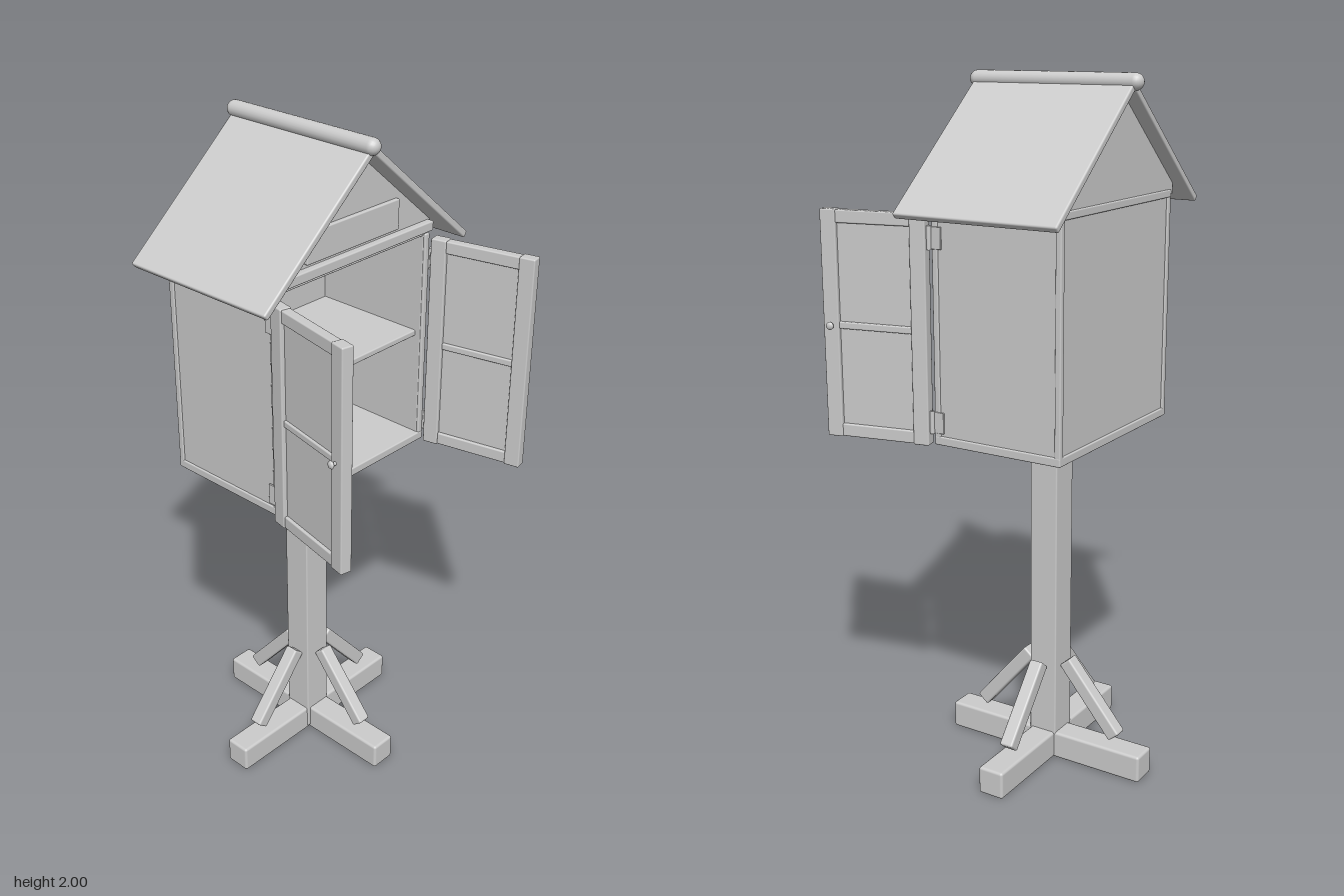
import * as THREE from 'three';
import { RoundedBoxGeometry } from 'three/addons/geometries/RoundedBoxGeometry.js';

export function createModel() {
  const root = new THREE.Group();
  root.name = 'cabinetOnPost';
  const paint = new THREE.MeshStandardMaterial({ color: 0xcccccc });
  paint.name = 'pale grey';

  const add = (parent, name, geometry, x, y, z) => {
    const mesh = new THREE.Mesh(geometry, paint);
    mesh.name = name;
    mesh.position.set(x, y, z);
    parent.add(mesh);
    return mesh;
  };
  // Softly rounded board given by its size and centre
  const board = (parent, name, w, h, d, x, y, z, r = 0.004) =>
    add(parent, name, new RoundedBoxGeometry(w, h, d, 2, Math.min(r, w / 3, h / 3, d / 3)), x, y, z);

  // Stand: crossed feet, post, top plate and four diagonal braces
  const stand = new THREE.Group();
  stand.name = 'stand';
  stand.position.set(0.013, 0, -0.095);
  root.add(stand);
  board(stand, 'footBeamAcross', 0.65, 0.082, 0.08, 0, 0.041, 0, 0.008);
  board(stand, 'footBeamAlong', 0.08, 0.082, 0.65, 0, 0.041, 0, 0.008);
  board(stand, 'post', 0.09, 0.98, 0.088, -0.005, 0.5, 0, 0.004);
  board(stand, 'topPlate', 0.225, 0.034, 0.225, -0.006, 0.994, 0, 0.008);
  for (let i = 0; i < 4; i++) {
    const arm = new THREE.Group();
    arm.name = 'braceArm';
    arm.rotation.y = i * Math.PI / 2;
    stand.add(arm);
    board(arm, 'brace', 0.042, 0.262, 0.042, 0.146, 0.21, 0, 0.006).rotation.z = 0.7;
  }

  // Cabinet: open-fronted box with trim and a shelf
  const cabinet = new THREE.Group();
  cabinet.name = 'cabinet';
  root.add(cabinet);
  const zMid = -0.097;
  board(cabinet, 'floor', 0.605, 0.025, 0.4, 0, 1.024, zMid);
  board(cabinet, 'ceiling', 0.6, 0.015, 0.38, 0, 1.655, zMid);
  board(cabinet, 'backWall', 0.58, 0.64, 0.015, 0, 1.34, -0.284);
  board(cabinet, 'shelf', 0.575, 0.018, 0.355, 0, 1.352, -0.1);
  for (const s of [-1, 1]) {
    board(cabinet, 'sideWall', 0.015, 0.64, 0.385, s * 0.29, 1.34, zMid);
    for (const z of [-0.288, 0.093])
      board(cabinet, 'cornerTrim', 0.018, 0.63, 0.018, s * 0.293, 1.34, z);
  }
  board(cabinet, 'backTopTrim', 0.605, 0.022, 0.02, 0, 1.662, -0.288);
  board(cabinet, 'frontTopTrim', 0.62, 0.028, 0.025, 0, 1.675, 0.095);

  // Triangular gables and the plain sign plate
  const triangle = new THREE.Shape([
    new THREE.Vector2(-0.315, 1.66), new THREE.Vector2(0.315, 1.66),
    new THREE.Vector2(0.315, 1.69), new THREE.Vector2(0, 1.957), new THREE.Vector2(-0.315, 1.69),
  ]);
  for (const [name, z] of [['frontGable', 0.073], ['backGable', -0.294]])
    add(cabinet, name, new THREE.ExtrudeGeometry(triangle, { depth: 0.015, bevelEnabled: false }), 0, 0, z);
  board(cabinet, 'signPlate', 0.352, 0.086, 0.014, -0.003, 1.742, 0.093);

  // Roof: two slopes and a round-ended ridge pole
  const roof = new THREE.Group();
  roof.name = 'roof';
  root.add(roof);
  const pitch = 0.703;
  for (const s of [-1, 1]) {
    board(roof, 'roofSlope', 0.515, 0.02, 0.497,
      s * (0.1965 - 0.01 * Math.sin(pitch)), 1.815 - 0.01 * Math.cos(pitch), -0.0875, 0.005)
      .rotation.z = -s * pitch;
  }
  add(roof, 'ridgePole', new THREE.CapsuleGeometry(0.023, 0.488, 6, 20), -0.005, 1.977, -0.0885)
    .rotation.x = Math.PI / 2;

  // Open doors: stiles, rails, panel, knob and hinges, mirrored left and right
  for (const s of [-1, 1]) {
    const door = new THREE.Group();
    door.name = s > 0 ? 'leftDoor' : 'rightDoor';
    door.position.set(s * 0.306, 1.328, 0.112);
    door.rotation.y = s * 0.21;
    root.add(door);
    board(door, 'hingeStile', 0.034, 0.635, 0.046, 0, 0, 0.023);
    board(door, 'outerStile', 0.034, 0.635, 0.046, 0, 0, 0.286);
    for (const y of [-0.298, 0.298])
      board(door, 'endRail', 0.028, 0.036, 0.22, 0, y, 0.155);
    board(door, 'middleRail', 0.024, 0.02, 0.22, 0, 0, 0.155);
    board(door, 'panel', 0.01, 0.57, 0.225, 0, 0, 0.155);
    add(door, 'knobStem', new THREE.CylinderGeometry(0.005, 0.005, 0.016, 12), s * 0.022, 0, 0.283)
      .rotation.z = Math.PI / 2;
    add(door, 'knob', new THREE.SphereGeometry(0.011, 16, 12), s * 0.03, 0, 0.283).scale.x = 0.6;

    // Hinges between the cabinet corner and the door
    for (const y of [1.075, 1.58]) {
      board(root, 'hingeLeaf', 0.006, 0.06, 0.035, s * 0.302, y, 0.088, 0.002);
      add(root, 'hingePin', new THREE.CylinderGeometry(0.007, 0.007, 0.064, 12), s * 0.306, y, 0.107);
    }
  }
  return root;
}
